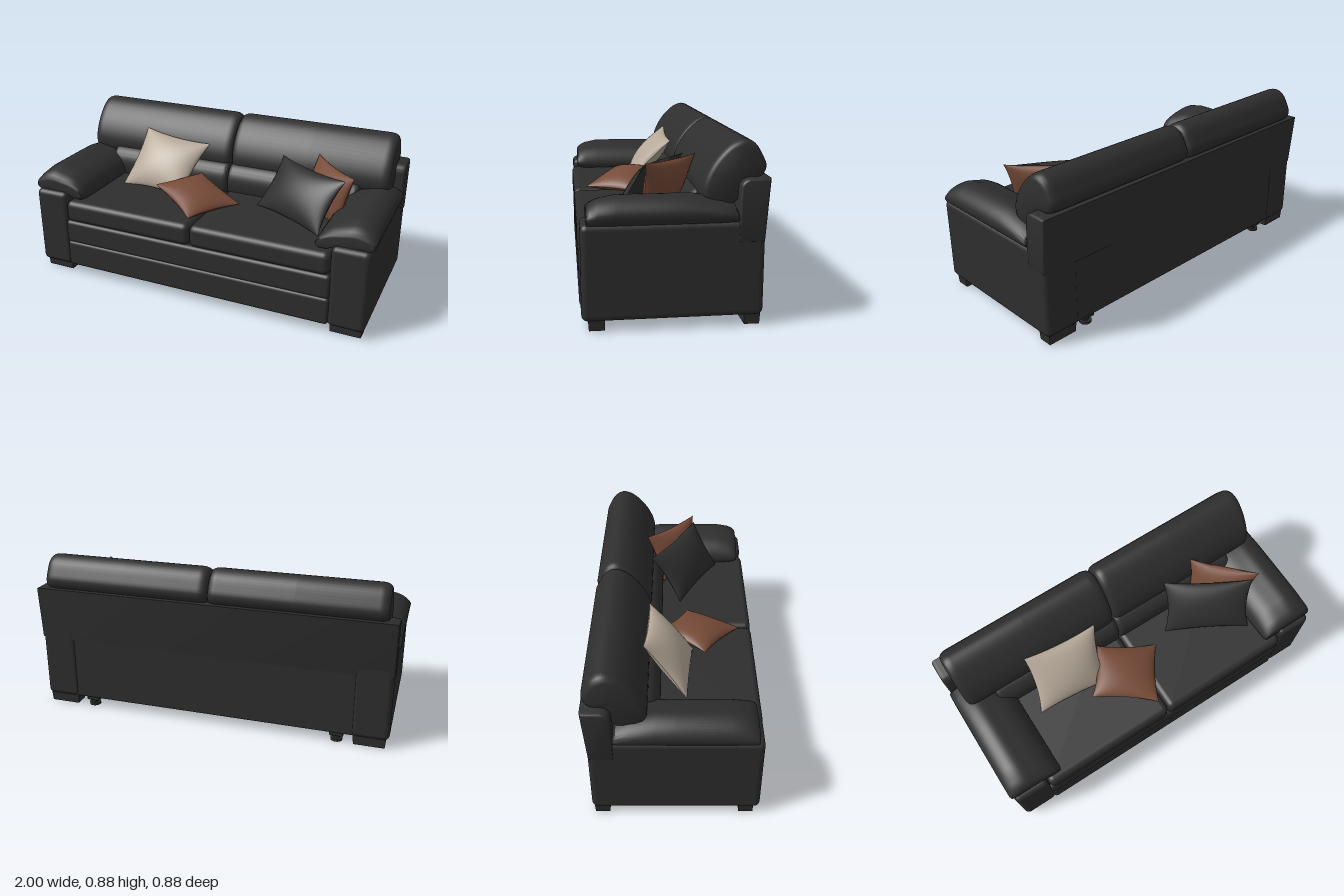
import * as THREE from 'three';
import { toCreasedNormals } from 'three/addons/utils/BufferGeometryUtils.js';
import { RoundedBoxGeometry } from 'three/addons/geometries/RoundedBoxGeometry.js';

const V = (x, y, z) => new THREE.Vector3(x, y, z);

const leather = new THREE.MeshStandardMaterial({ color: 0x2e2e2e });
leather.name = 'charcoal leather';
const brown = new THREE.MeshStandardMaterial({ color: 0x774b38 });
brown.name = 'brown fabric';
const beige = new THREE.MeshStandardMaterial({ color: 0xb5a898 });
beige.name = 'beige fabric';

function addMesh(parent, name, geometry, material = leather) {
  const mesh = new THREE.Mesh(geometry, material);
  mesh.name = name;
  parent.add(mesh);
  return mesh;
}

// Rounded box given by its extents
function box(parent, name, x0, x1, y0, y1, z0, z1, r) {
  const mesh = addMesh(parent, name, new RoundedBoxGeometry(x1 - x0, y1 - y0, z1 - z0, 4, r));
  mesh.position.set((x0 + x1) / 2, (y0 + y1) / 2, (z0 + z1) / 2);
  return mesh;
}

// Closed skin over a row of rings, turned so that it faces outwards
function loft(rings) {
  const n = rings[0].length;
  const centre = ring => ring.reduce((s, p) => s.add(p), V(0, 0, 0)).divideScalar(n);
  const pts = [...rings.flat(), centre(rings[0]), centre(rings.at(-1))];
  const tris = [];
  const last = (rings.length - 1) * n;
  for (let j = 0; j < n; j++) {
    const k = (j + 1) % n;
    for (let i = 0; i < last; i += n) {
      tris.push([i + j, i + k, i + n + j], [i + k, i + n + k, i + n + j]);
    }
    tris.push([last + n, k, j], [last + n + 1, last + j, last + k]);
  }
  let volume = 0;
  for (const [a, b, c] of tris) volume += pts[a].dot(V(0, 0, 0).crossVectors(pts[b], pts[c]));
  if (volume < 0) tris.forEach(t => t.reverse());
  const g = new THREE.BufferGeometry().setFromPoints(pts);
  g.setIndex(tris.flat());
  return toCreasedNormals(g, 0.8);
}

// Smooth closed outline through a few 2D points
function outline(points, count = 48) {
  const curve = new THREE.CatmullRomCurve3(points.map(([a, b]) => V(a, b, 0)), true, 'centripetal');
  return curve.getPoints(count).slice(0, count);
}

// Cushion with a (z, y) profile running along x, rounded at both ends
function cushion(x0, x1, profile, r) {
  const ring = outline(profile);
  const c = ring.reduce((s, p) => s.add(p), V(0, 0, 0)).divideScalar(ring.length);
  const steps = [0, 0.15, 0.35, 0.6, 0.8, 1];
  const stations = steps.map(t => [x0 + t * r, t]);
  stations.push([(x0 + x1) / 2, 1]);
  steps.slice().reverse().forEach(t => stations.push([x1 - t * r, t]));
  return loft(stations.map(([x, t]) => {
    const s = 0.8 + 0.2 * Math.sqrt(1 - (1 - t) ** 2);
    return ring.map(p => V(x, c.y + (p.y - c.y) * s, c.x + (p.x - c.x) * s));
  }));
}

// Scatter pillow stretched between four corners, with pulled-in edges
function pillow([a, b, c, d], h) {
  const n = 18, pos = [], idx = [];
  const normal = V(0, 0, 0).crossVectors(b.clone().sub(d), a.clone().sub(c)).normalize();
  for (const side of [1, -1]) {
    const base = pos.length / 3;
    for (let j = 0; j <= n; j++) for (let i = 0; i <= n; i++) {
      const u = -Math.cos(Math.PI * i / n), v = -Math.cos(Math.PI * j / n);
      const s = (u * (1 - 0.09 * (1 - v * v)) + 1) / 2;
      const t = (v * (1 - 0.09 * (1 - u * u)) + 1) / 2;
      const p = a.clone().lerp(b, s).lerp(d.clone().lerp(c, s), t);
      const puff = Math.max(0, (1 - u * u) * (1 - v * v)) ** 0.55;
      p.addScaledVector(normal, side * h * puff);
      pos.push(p.x, p.y, p.z);
      if (i < n && j < n) {
        const k = base + j * (n + 1) + i, m = k + n + 1;
        if (side > 0) idx.push(k, m, k + 1, k + 1, m, m + 1);
        else idx.push(k, k + 1, m, k + 1, m + 1, m);
      }
    }
  }
  // Turn the skin outwards if the corners run the other way
  const at = i => V(pos[3 * i], pos[3 * i + 1], pos[3 * i + 2]);
  let volume = 0;
  for (let i = 0; i < idx.length; i += 3) {
    volume += at(idx[i]).dot(V(0, 0, 0).crossVectors(at(idx[i + 1]), at(idx[i + 2])));
  }
  if (volume < 0) idx.reverse();
  const g = new THREE.BufferGeometry();
  g.setAttribute('position', new THREE.Float32BufferAttribute(pos, 3));
  g.setIndex(idx);
  g.computeVertexNormals();
  return g;
}

export function createModel() {
  const sofa = new THREE.Group();
  sofa.name = 'sofa';

  // Front rails, body and back panel
  box(sofa, 'body', -0.8, 0.8, 0.055, 0.4, -0.415, 0.4, 0.01);
  box(sofa, 'lowerFrontRail', -0.795, 0.795, 0.055, 0.213, 0.3, 0.435, 0.02);
  box(sofa, 'upperFrontRail', -0.795, 0.795, 0.207, 0.345, 0.3, 0.436, 0.022);
  box(sofa, 'lowerBackPanel', -0.82, 0.82, 0.055, 0.56, -0.417, -0.3, 0.01);

  // Upper back frame, a side profile swept across the full width
  const frame = new THREE.Shape();
  frame.moveTo(0.41, 0.42);
  frame.lineTo(0.43, 0.695);
  frame.lineTo(0.35, 0.695);
  frame.quadraticCurveTo(0.315, 0.692, 0.312, 0.66);
  frame.lineTo(0.305, 0.42);
  const back = new THREE.ExtrudeGeometry(frame, {
    depth: 1.94, bevelSize: 0.012, bevelThickness: 0.02, bevelSegments: 4, curveSegments: 8,
  });
  back.translate(0, 0, -0.97).rotateY(Math.PI / 2);
  // The sweep now runs along x, with the shape's first axis along -z
  addMesh(sofa, 'backFrame', toCreasedNormals(back, 0.7));

  const backProfile = [[-0.14, 0.6], [-0.135, 0.66], [-0.165, 0.74], [-0.22, 0.815], [-0.28, 0.865],
    [-0.335, 0.88], [-0.385, 0.855], [-0.42, 0.8], [-0.438, 0.755], [-0.425, 0.715], [-0.36, 0.68], [-0.29, 0.58], [-0.2, 0.55]];
  const lumbarProfile = [[-0.1, 0.44], [-0.075, 0.5], [-0.085, 0.57], [-0.13, 0.62], [-0.22, 0.63],
    [-0.3, 0.6], [-0.3, 0.44]];
  const armProfile = [[0.995, 0.52], [1, 0.56], [0.965, 0.605], [0.9, 0.63], [0.83, 0.615], [0.76, 0.59],
    [0.71, 0.545], [0.69, 0.49], [0.705, 0.46], [0.76, 0.465], [0.8, 0.5], [0.97, 0.5]];
  // Arm pad stations: z, width scale, height scale
  const armStations = [[0.402, 0.9, 0.45], [0.4, 0.96, 0.55], [0.385, 1, 0.7], [0.35, 1, 0.86], [0.27, 1, 1],
    [0, 1, 1], [-0.1, 1, 0.98], [-0.22, 1, 0.8], [-0.285, 0.99, 0.63], [-0.297, 0.94, 0.4]];
  const armRing = outline(armProfile);

  for (const [side, label] of [[1, 'left'], [-1, 'right']]) {
    const span = (a, b) => (side > 0 ? [a, b] : [-b, -a]);

    // Seat, lumbar and back cushions
    box(sofa, label + 'SeatCushion', ...span(0.001, 0.785), 0.342, 0.47, -0.25, 0.44, 0.035);
    addMesh(sofa, label + 'LumbarCushion', cushion(...span(0.001, 0.78), lumbarProfile, 0.03));
    addMesh(sofa, label + 'BackCushion', cushion(...span(0.001, 0.937), backProfile, 0.05));

    // Arm panel and its padded top
    box(sofa, label + 'ArmPanel', ...span(0.785, 0.987), 0.05, 0.51, -0.424, 0.43, 0.03);
    addMesh(sofa, label + 'ArmPad', loft(armStations.map(([z, sx, sy]) => armRing.map(p =>
      V(side * (0.85 + (p.x - 0.85) * sx), 0.51 + (p.y - 0.51) * sy, z)))));

    // Block feet
    for (const [z, end] of [[0.36, 'Front'], [-0.372, 'Back']]) {
      const foot = new THREE.CylinderGeometry(0.5 * Math.SQRT2, 0.47 * Math.SQRT2, 1, 4, 1);
      foot.rotateY(Math.PI / 4).scale(0.175, 0.06, 0.078);
      addMesh(sofa, label + end + 'Foot', toCreasedNormals(foot, 0.5)).position.set(side * 0.885, 0.033, z);
    }

    // Small rear support: plate, stem and floor pad
    const support = new THREE.Group();
    support.name = label + 'RearSupport';
    support.position.set(side * 0.71, 0, -0.375);
    sofa.add(support);
    box(support, 'plate', -0.038, 0.038, 0.032, 0.06, -0.03, 0.03, 0.006);
    for (const [name, r, h, y] of [['stem', 0.018, 0.03, 0.022], ['floorPad', 0.032, 0.014, 0.007]]) {
      addMesh(support, name, new THREE.CylinderGeometry(r, r, h, 20)).position.y = y;
    }
  }

  // Scatter pillows
  addMesh(sofa, 'beigePillow', pillow([V(-0.56, 0.765, -0.16), V(-0.13, 0.725, -0.14),
    V(-0.21, 0.47, 0.1), V(-0.62, 0.465, 0.06)], 0.065), beige);
  addMesh(sofa, 'flatBrownPillow', pillow([V(-0.16, 0.56, -0.08), V(0.15, 0.475, 0.07),
    V(-0.03, 0.48, 0.37), V(-0.34, 0.545, 0.16)], 0.055), brown);
  addMesh(sofa, 'cornerBrownPillow', pillow([V(0.53, 0.755, -0.17), V(0.805, 0.755, 0.115),
    V(0.74, 0.47, 0.13), V(0.46, 0.475, -0.07)], 0.06), brown);
  addMesh(sofa, 'charcoalPillow', pillow([V(0.33, 0.725, -0.14), V(0.76, 0.735, 0.12),
    V(0.67, 0.47, 0.265), V(0.24, 0.47, 0.03)], 0.06));

  return sofa;
}
